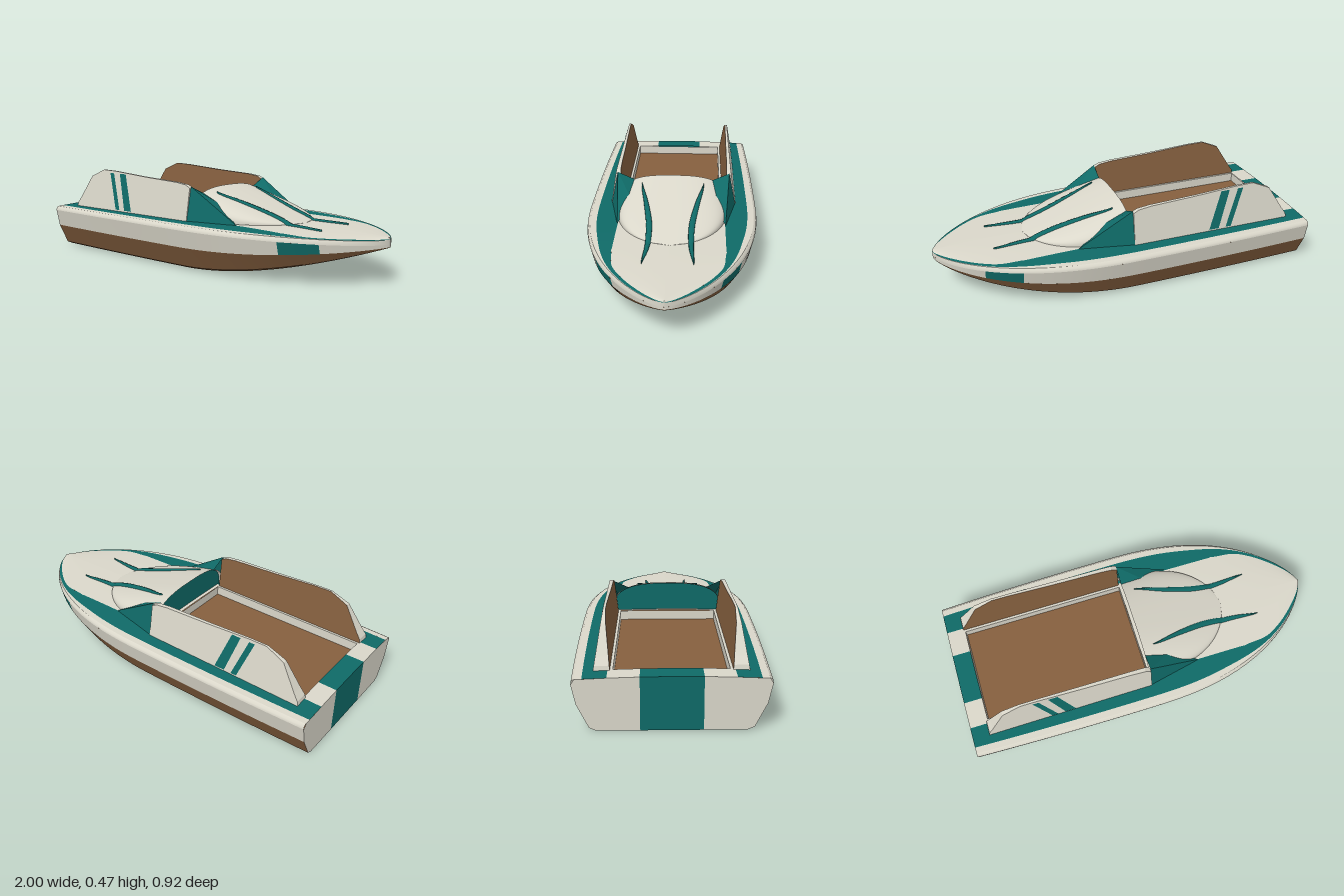
import * as THREE from 'three';

const paint = (name, color) => {
  const m = new THREE.MeshStandardMaterial({ color, side: THREE.DoubleSide });
  m.name = name;
  return m;
};

// Hull lines as functions of x (the bow points to +x)
const fore = (x) => Math.min(1, Math.max(0, x));
const lerp = THREE.MathUtils.lerp, step = THREE.MathUtils.smoothstep;
const beam = (x) => x < 0 ? 0.46 - 0.022 * x * x : 0.46 * Math.pow(Math.max(0, 1 - x ** 2.4), 0.7);
const keel = (x) => 0.003 + 0.182 * fore(x) ** 1.8;
const paintLine = (x) => 0.128 + 0.06 * fore(x) ** 2;
const sheer = (x) => 0.243 - 0.02 * fore(x) ** 2.5;
const deckY = (x, z) => sheer(x) + 0.012 * (1 - (z / Math.max(beam(x), 1e-4)) ** 2);

// Hood bulge over the foredeck
const N = 2.8, HOOD_END = 0.52;
const hoodHalf = (x) => 0.3 * Math.pow(Math.max(0, 1 - (x / HOOD_END) ** 3), 0.6);
const hoodRise = (x) => 0.162 * Math.max(0, 1 - x / HOOD_END);
const hoodY = (x, z) => {
  const a = hoodHalf(x);
  if (x > HOOD_END || Math.abs(z) >= a) return 0;
  return 0.252 + hoodRise(x) * Math.pow(1 - (z / a) ** N, 1 / N);
};

// Mirrored skin through rails; each rail maps x to [y, z], ordered outward, up, then inward
function addSkin(parent, name, mat, rails, x0, x1, steps = 24) {
  for (const side of [1, -1]) {
    const pos = [], idx = [], n = rails.length;
    for (let i = 0; i <= steps; i++) {
      const t = i / steps;
      const x = x0 + (x1 - x0) * (x1 >= 1 ? Math.sin(t * Math.PI / 2) : t);
      for (const r of rails) {
        const [y, z] = r(x);
        pos.push(x, y, z * side);
      }
    }
    for (let i = 0; i < steps; i++) for (let j = 0; j < n - 1; j++) {
      const a = i * n + j, b = a + n, c = a + 1, d = b + 1;
      if (side > 0) idx.push(a, b, c, c, b, d);
      else idx.push(a, c, b, c, d, b);
    }
    const g = new THREE.BufferGeometry();
    g.setAttribute('position', new THREE.Float32BufferAttribute(pos, 3));
    g.setIndex(idx);
    g.computeVertexNormals();
    const m = new THREE.Mesh(g, mat);
    m.name = name + (side > 0 ? 'Left' : 'Right');
    parent.add(m);
  }
}

const shapeOf = (pts) => new THREE.Shape(pts.map(([a, b]) => new THREE.Vector2(a, b)));

// Flat plate across the boat, facing aft; points are [z, y]
function addCrossPlate(parent, name, mat, pts, x) {
  const m = new THREE.Mesh(new THREE.ShapeGeometry(shapeOf(pts)).rotateY(-Math.PI / 2), mat);
  m.position.x = x;
  m.name = name;
  parent.add(m);
}

export function createModel() {
  const boat = new THREE.Group();
  boat.name = 'boat';
  const cream = paint('cream', 0xdad7ca);
  const teal = paint('teal', 0x0f6a67);
  const brown = paint('brown', 0x86603f);

  // Lower hull
  const center = (x) => [keel(x), 0];
  const chine = (x) => [keel(x), 0.76 * beam(x)];
  const bilge = (x) => [lerp(keel(x), paintLine(x), 0.11), 0.83 * beam(x)];
  const waterline = (x) => [paintLine(x), 0.955 * beam(x)];
  addSkin(boat, 'hullBottom', brown, [center, chine], -1, 1, 60);
  addSkin(boat, 'hullBilge', brown, [chine, bilge], -1, 1, 60);
  addSkin(boat, 'hullSide', brown, [bilge, waterline], -1, 1, 60);

  // Topsides with a teal patch near the bow, and a rounded gunwale
  const strake = (x) => [sheer(x) - 0.022, beam(x)];
  addSkin(boat, 'topside', cream, [waterline, strake], -1, 0.6, 36);
  addSkin(boat, 'topsidePatch', teal, [waterline, strake], 0.6, 0.775, 10);
  addSkin(boat, 'topsideBow', cream, [waterline, strake], 0.775, 1, 24);
  const edge = (x) => [deckY(x, 0.965 * beam(x)), 0.965 * beam(x)];
  addSkin(boat, 'gunwale', cream,
    [strake, (x) => [sheer(x) - 0.008, 0.995 * beam(x)], edge], -1, 1, 60);

  // Side deck bands
  const onDeck = (f) => (x) => [deckY(x, f(x)), f(x)];
  const bandOut = onDeck((x) => beam(x) * lerp(0.89, 0.945, step(x, 0.4, 0.8)));
  const bandIn = onDeck((x) => x < 0.56 ? 0.283
    : beam(x) * (lerp(0.76, 0.87, step(x, 0.56, 0.74)) - 0.06 * step(x, 0.78, 1)));
  addSkin(boat, 'deckRim', cream, [edge, bandOut], -1, 1, 60);
  addSkin(boat, 'deckBand', teal, [bandOut, bandIn], -1, 1, 80);

  // Foredeck and aft deck
  const across = [0.75, 0.5, 0.25, 0].map((k) => onDeck((x) => bandIn(x)[1] * k));
  addSkin(boat, 'foredeck', cream, [bandIn, ...across], 0, 1, 60);
  const aftSplit = onDeck(() => 0.14);
  addSkin(boat, 'aftDeck', cream, [bandIn, aftSplit], -1, -0.9, 2);
  addSkin(boat, 'aftDeckStripe', teal, [aftSplit, onDeck(() => 0)], -1, -0.9, 2);

  // Transom
  const corner = (r) => { const [y, z] = r(-1); return [z, y]; };
  const top = deckY(-1, 0.14), low = keel(-1);
  const half = [[0.14, low], ...[chine, bilge, waterline, strake, edge, bandIn].map(corner), [0.14, top]];
  addCrossPlate(boat, 'transomLeft', cream, half, -1);
  addCrossPlate(boat, 'transomRight', cream, half.map(([z, y]) => [-z, y]), -1);
  addCrossPlate(boat, 'transomStripe', teal,
    [[-0.14, low], [0.14, low], [0.14, top], [0, deckY(-1, 0)], [-0.14, top]], -1);

  // Cockpit well
  const FLOOR = 0.2, W = 0.26;
  const ledge = onDeck(() => W), foot = () => [FLOOR, W];
  addSkin(boat, 'cockpitLedge', cream, [bandIn, ledge], -0.9, 0, 4);
  addSkin(boat, 'cockpitWall', cream, [ledge, foot], -0.9, 0, 4);
  addSkin(boat, 'cockpitFloor', brown, [foot, () => [FLOOR, 0]], -0.9, 0, 2);
  for (const x of [-0.9, 0]) {
    addCrossPlate(boat, 'cockpitEnd', cream, [[-W, FLOOR], [W, FLOOR], [W, 0.25], [-W, 0.25]], x);
  }

  // Hood and the bulkhead closing its rear opening
  const hoodRails = [];
  for (let i = 0; i <= 20; i++) {
    const t = i / 20 * Math.PI / 2;
    const c = Math.max(0, Math.cos(t)) ** (2 / N), s = Math.sin(t) ** (2 / N);
    hoodRails.push((x) => [0.252 + hoodRise(x) * s, hoodHalf(x) * c]);
  }
  addSkin(boat, 'hood', cream, hoodRails, 0, HOOD_END, 30);
  const arch = hoodRails.map((r) => { const [y, z] = r(0.02); return [z, y - 0.003]; });
  addCrossPlate(boat, 'bulkhead', teal,
    [...arch, ...arch.slice(0, -1).reverse().map(([z, y]) => [-z, y])], 0.02);

  // Curved teal blades draped over hood and foredeck
  const path = new THREE.SplineCurve([[0.06, 0.168], [0.22, 0.135], [0.4, 0.11], [0.55, 0.11], [0.7, 0.125]]
    .map(([x, z]) => new THREE.Vector2(x, z)));
  const blade = (k, lift) => (x) => {
    const t = fore((x - 0.06) / 0.64);
    const z = path.getPoint(t).y + k * 0.016 * Math.sin(Math.PI * t) ** 0.7;
    return [Math.max(deckY(x, z), hoodY(x, z)) + lift, z];
  };
  addSkin(boat, 'hoodBlade', teal,
    [blade(1, -0.002), blade(0.85, 0.007), blade(0, 0.01), blade(-0.85, 0.007), blade(-1, -0.002)], 0.06, 0.7, 40);

  // Side panels: tapered in thickness, brown inside, with slanted stripes outside
  const outer = (y) => 0.31 + (0.475 - y) * 0.165;
  const inner = (y) => 0.298 - (0.475 - y) * 0.11;
  const profile = [[-0.91, 0.245], [0, 0.245], [0, 0.42], [-0.03, 0.435], [-0.1, 0.444], [-0.35, 0.456],
    [-0.6, 0.473], [-0.7, 0.475], [-0.8, 0.432], [-0.88, 0.305], [-0.905, 0.27]];
  const stripes = [
    [[-0.56, 0.256], [-0.528, 0.256], [-0.605, 0.46], [-0.637, 0.46]],
    [[-0.487, 0.256], [-0.43, 0.256], [-0.505, 0.46], [-0.555, 0.46]],
  ];
  const bendZ = (g, rule) => {
    const p = g.attributes.position;
    for (let i = 0; i < p.count; i++) p.setZ(i, rule(p.getY(i), p.getZ(i)));
    g.computeVertexNormals();
    return g;
  };
  // Flared corner faces joining panel and hood
  const A = [0, 0.428, 0.308], B = [0, 0.245, 0.345], C = [0.29, 0.25, 0.285],
    D = [0, 0.386, 0.215], E = [0.14, 0.335, 0.225];
  for (const side of [1, -1]) {
    const panel = new THREE.Group();
    panel.name = side > 0 ? 'sidePanelLeft' : 'sidePanelRight';
    panel.scale.z = side;
    const g = bendZ(new THREE.ExtrudeGeometry(shapeOf(profile), { depth: 1, bevelEnabled: false }),
      (y, z) => z > 0.5 ? outer(y) : inner(y));
    const caps = g.groups[0].count, total = g.attributes.position.count;
    g.clearGroups();
    g.addGroup(0, caps / 2, 0);
    g.addGroup(caps / 2, total - caps / 2, 1);
    const shell = new THREE.Mesh(g, [brown, cream]);
    shell.name = 'panelShell';
    panel.add(shell);
    for (const s of stripes) {
      const m = new THREE.Mesh(bendZ(new THREE.ShapeGeometry(shapeOf(s)), (y) => outer(y) + 0.003), teal);
      m.name = 'panelStripe';
      panel.add(m);
    }
    const f = new THREE.BufferGeometry();
    f.setAttribute('position', new THREE.Float32BufferAttribute([A, B, C, A, C, E, A, E, D].flat(), 3));
    f.computeVertexNormals();
    const flare = new THREE.Mesh(f, teal);
    flare.name = 'hoodFlare';
    panel.add(flare);
    boat.add(panel);
  }
  return boat;
}
